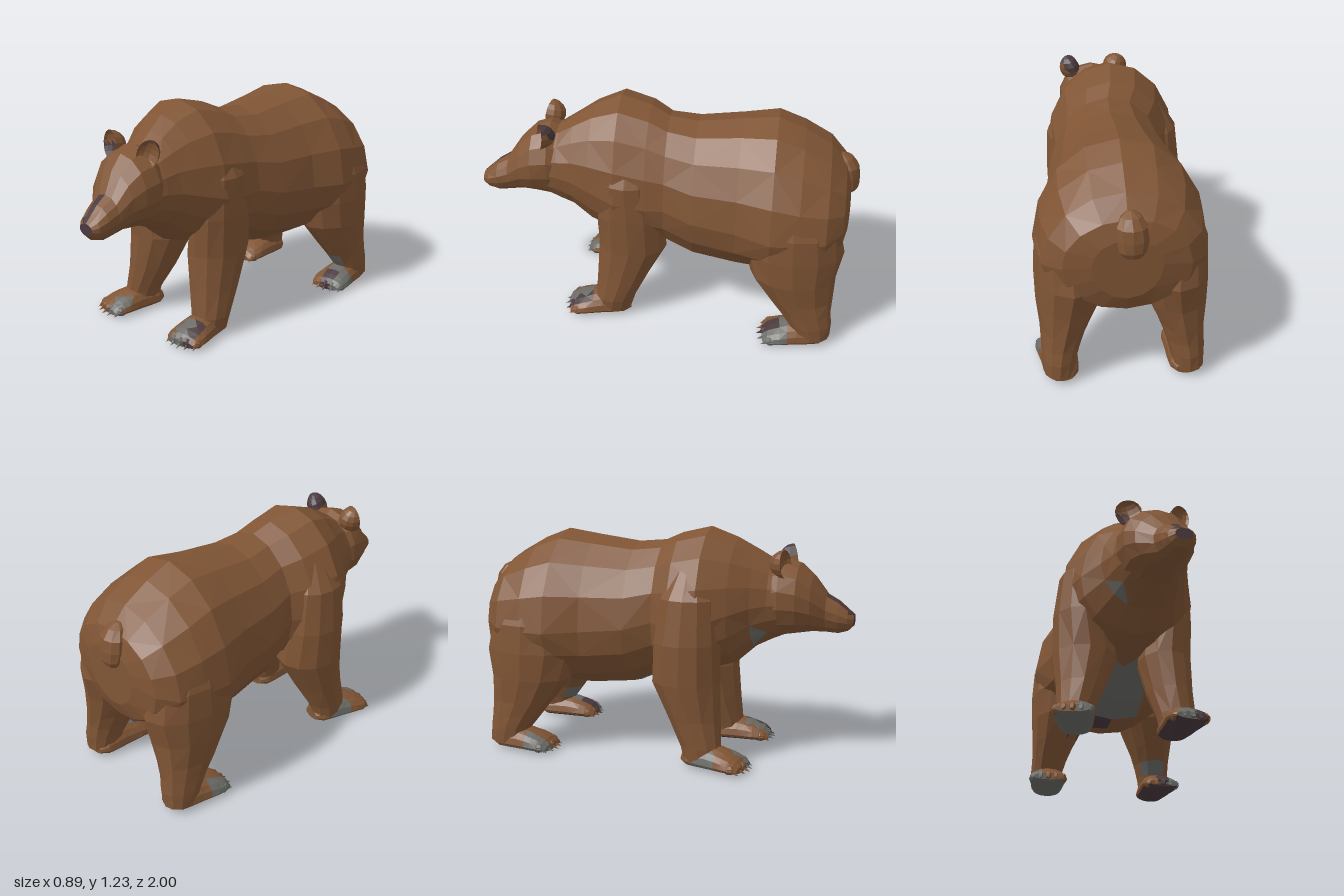
import * as THREE from 'three';

const brown = new THREE.MeshStandardMaterial({ color: 0x805535 });
const grey = new THREE.MeshStandardMaterial({ color: 0x6a6a66 });
const dark = new THREE.MeshStandardMaterial({ color: 0x4a3a3e });
brown.name = 'brown fur';
grey.name = 'grey skin';
dark.name = 'dark skin';
const coat = [brown, grey, dark];
const BROWN = 0, GREY = 1, DARK = 2;

// Small repeatable offset that breaks up regular facets
const wobble = (i, j) => 1 + 0.022 * Math.sin(i * 12.9 + j * 7.3) * Math.cos(i * 3.1 - j * 5.7);

// Flat facets, each coloured by a rule on its centre and normal
function facetMesh(name, source, rule = () => BROWN) {
  const flat = source.index ? source.toNonIndexed() : source;
  const p = flat.attributes.position;
  const buckets = [[], [], []];
  const v = [0, 1, 2].map(() => new THREE.Vector3());
  for (let i = 0; i < p.count; i += 3) {
    v.forEach((q, k) => q.fromBufferAttribute(p, i + k));
    const c = new THREE.Vector3().add(v[0]).add(v[1]).add(v[2]).divideScalar(3);
    const n = v[1].clone().sub(v[0]).cross(v[2].clone().sub(v[0])).normalize();
    const list = buckets[rule(c, n)];
    v.forEach((q) => list.push(q.x, q.y, q.z));
  }
  const geo = new THREE.BufferGeometry();
  geo.setAttribute('position', new THREE.Float32BufferAttribute(buckets.flat(), 3));
  let start = 0;
  buckets.forEach((b, k) => {
    if (b.length) geo.addGroup(start, b.length / 3, k);
    start += b.length / 3;
  });
  geo.computeVertexNormals();
  const mesh = new THREE.Mesh(geo, coat);
  mesh.name = name;
  return mesh;
}

// Skin over closed rings, with both ends capped
function loft(rings) {
  const n = rings[0].length, pos = [];
  const tri = (...pts) => pts.forEach((q) => pos.push(q.x, q.y, q.z));
  const centre = (r) => r.reduce((s, q) => s.add(q), new THREE.Vector3()).divideScalar(n);
  const first = rings[0], last = rings[rings.length - 1];
  const c0 = centre(first), c1 = centre(last);
  for (let j = 0; j < n; j++) {
    const k = (j + 1) % n;
    tri(c0, first[j], first[k]);
    tri(c1, last[k], last[j]);
    for (let i = 0; i + 1 < rings.length; i++) {
      const a = rings[i], b = rings[i + 1];
      if ((i + j) % 2) { tri(a[j], b[j], a[k]); tri(a[k], b[j], b[k]); }
      else { tri(a[j], b[j], b[k]); tri(a[j], b[k], a[k]); }
    }
  }
  const geo = new THREE.BufferGeometry();
  geo.setAttribute('position', new THREE.Float32BufferAttribute(pos, 3));
  return geo;
}

// Upright sections along z: [z, centre x, half width, top, bottom, widest y]
const alongZ = (rows, n, rough = true) => loft(rows.map(([z, cx, w, top, bottom, mid], i) =>
  Array.from({ length: n }, (_, j) => {
    const a = (j / n) * Math.PI * 2, c = Math.cos(a);
    const f = rough && j ? wobble(i, j) : 1;
    return new THREE.Vector3(cx + Math.sin(a) * w * f, mid + c * (c > 0 ? top - mid : mid - bottom), z);
  })));

// Level sections from top to bottom: [y, centre x, centre z, half width, half depth]
const downY = (rows, n) => loft(rows.map(([y, cx, cz, w, d], i) =>
  Array.from({ length: n }, (_, j) => {
    const a = (j / n) * Math.PI * 2, f = wobble(i, j);
    return new THREE.Vector3(cx + Math.sin(a) * w * f, y, cz + Math.cos(a) * d * f);
  })));

// Paw with coloured spots: [colour, min x, max x, min z, max z]
function makePaw(name, x, z, yaw, sole, spots) {
  const paw = new THREE.Group();
  paw.name = name;
  const colourAt = (px, pz) => {
    const spot = spots.find(([, x0, x1, z0, z1]) => px > x0 && px < x1 && pz > z0 && pz < z1);
    return spot ? spot[0] : BROWN;
  };
  const pad = alongZ([
    [-0.16, 0, 0.05, 0.07, 0.015, 0.035], [-0.12, 0, 0.08, 0.1, 0, 0.035],
    [-0.06, 0, 0.09, 0.12, 0, 0.035], [0, 0, 0.095, 0.125, 0, 0.035],
    [0.05, 0, 0.102, 0.115, 0, 0.035], [0.09, 0, 0.108, 0.102, 0, 0.035],
    [0.125, 0, 0.107, 0.088, 0, 0.033], [0.155, 0, 0.1, 0.072, 0.002, 0.03],
    [0.178, 0, 0.085, 0.048, 0.01, 0.025],
  ], 16, false);
  paw.add(facetMesh('pawPad', pad, (c, n) => (n.y < -0.6 ? sole : colourAt(c.x, c.z))));
  // Toes and claws
  for (let i = 0; i < 5; i++) {
    const t = (i - 2) / 2, bend = t * t * 0.025;
    const toe = facetMesh('toe', new THREE.SphereGeometry(0.027, 7, 5), () => colourAt(t * 0.083, 0.16));
    toe.scale.set(0.8, 1, 1.2);
    toe.position.set(t * 0.083, 0.034, 0.16 - bend);
    const claw = facetMesh('claw', new THREE.ConeGeometry(0.011, 0.04, 5), () => colourAt(t * 0.083, 0.16));
    claw.rotation.x = 1.95;
    claw.position.set(t * 0.086, 0.02, 0.196 - bend);
    paw.add(toe, claw);
  }
  paw.position.set(x, 0, z);
  paw.rotation.y = yaw;
  return paw;
}

// Ear as a ball whose front half is pushed in to make a dish
function makeEar(name, x, w, yaw, tilt, rule) {
  const dish = new THREE.SphereGeometry(1, 12, 8);
  const p = dish.attributes.position;
  for (let i = 0; i < p.count; i++) if (p.getZ(i) > 0) p.setZ(i, p.getZ(i) * -0.4);
  dish.scale(w, 0.075, 0.085);
  const ear = facetMesh(name, dish, rule);
  ear.position.set(x, 1.05, 0.665);
  ear.rotation.set(-0.1, yaw, tilt);
  return ear;
}

export function createModel() {
  const bear = new THREE.Group();
  bear.name = 'bear';

  // Trunk from rump to neck, with bare skin under the belly and throat
  bear.add(facetMesh('body', alongZ([
    [-0.955, 0, 0.17, 0.86, 0.54, 0.72], [-0.925, 0, 0.31, 0.95, 0.46, 0.7],
    [-0.84, 0, 0.39, 1.045, 0.41, 0.68], [-0.7, 0, 0.425, 1.125, 0.37, 0.67],
    [-0.56, 0, 0.425, 1.18, 0.34, 0.67], [-0.38, -0.005, 0.37, 1.155, 0.33, 0.68],
    [-0.15, 0, 0.335, 1.125, 0.35, 0.7], [0, -0.005, 0.3, 1.14, 0.42, 0.74],
    [0.1, -0.03, 0.335, 1.185, 0.45, 0.74], [0.26, -0.045, 0.35, 1.225, 0.46, 0.76],
    [0.4, -0.025, 0.285, 1.17, 0.5, 0.8], [0.5, 0, 0.225, 1.11, 0.59, 0.83],
    [0.58, 0.015, 0.195, 1.06, 0.63, 0.84], [0.65, 0.02, 0.17, 1.03, 0.66, 0.84],
  ], 16), (c, n) => {
    if (n.y < -0.7 && Math.abs(c.x) < 0.15 && c.z > -0.42 && c.z < 0.2) return GREY;
    if (n.y < -0.7 && c.x < 0.02 && c.x > -0.15 && c.z > -0.65 && c.z < -0.42) return DARK;
    return c.z > 0.5 && c.z < 0.6 && c.x < -0.1 && c.x > -0.18 && c.y < 0.7 ? GREY : BROWN;
  }));

  // Head and muzzle, turned slightly to the left, with a dark nose stripe
  bear.add(facetMesh('head', alongZ([
    [0.54, 0.015, 0.16, 1.03, 0.66, 0.85], [0.63, 0.02, 0.19, 1.075, 0.655, 0.87],
    [0.72, 0.025, 0.182, 1.045, 0.67, 0.86], [0.79, 0.038, 0.148, 0.98, 0.68, 0.83],
    [0.86, 0.065, 0.1, 0.88, 0.675, 0.785], [0.92, 0.073, 0.088, 0.845, 0.67, 0.765],
    [0.97, 0.079, 0.07, 0.8, 0.685, 0.75], [1.0, 0.083, 0.045, 0.775, 0.715, 0.745],
  ], 14), (c, n) => {
    const side = c.x - 0.065 - (c.z - 0.86) * 0.13;
    const stripe = n.y > 0.3 && c.z > 0.865 && side < 0 && side > -0.036;
    return stripe || c.z > 0.995 ? DARK : BROWN;
  }));

  // Ears, each with a dark patch
  bear.add(
    makeEar('rightEar', -0.115, 0.068, -0.25, 0.3, (c, n) => (n.z > 0 && c.x < 0.01 && c.y < 0.01 && c.y > -0.055 ? DARK : BROWN)),
    makeEar('leftEar', 0.155, 0.056, 0.45, -0.3, (c, n) => (n.z < 0.2 && c.y > 0 && c.x < 0.035 ? DARK : BROWN)),
  );

  // Front legs with shoulders
  bear.add(facetMesh('rightFrontLeg', downY([
    [1.02, -0.25, 0.2, 0.06, 0.08], [0.88, -0.283, 0.2, 0.115, 0.15], [0.65, -0.28, 0.19, 0.145, 0.18],
    [0.44, -0.25, 0.185, 0.17, 0.185], [0.25, -0.28, 0.235, 0.125, 0.14],
    [0.11, -0.31, 0.28, 0.09, 0.11], [0.03, -0.315, 0.29, 0.08, 0.1],
  ], 12)));
  bear.add(facetMesh('leftFrontLeg', downY([
    [1.02, 0.17, 0.2, 0.05, 0.08], [0.86, 0.2, 0.2, 0.11, 0.15], [0.65, 0.185, 0.19, 0.13, 0.18],
    [0.44, 0.17, 0.185, 0.14, 0.185], [0.25, 0.185, 0.235, 0.12, 0.14],
    [0.11, 0.205, 0.28, 0.1, 0.11], [0.03, 0.205, 0.29, 0.085, 0.1],
  ], 12)));

  // Hind legs with thighs: grey shin patch on the left, dark inner thigh on the right
  const shin = (c, n) => (n.z > 0.4 && c.y > 0.12 && c.y < 0.19 && c.x < 0.36 ? GREY : BROWN);
  const thigh = (c, n) => (n.x > 0.5 && c.y > 0.33 && c.y < 0.52 && c.z > -0.78 ? DARK : BROWN);
  for (const s of [1, -1]) {
    bear.add(facetMesh(s > 0 ? 'leftHindLeg' : 'rightHindLeg', downY([
      [1.0, 0.23, -0.66, 0.05, 0.08], [0.86, 0.26, -0.66, 0.11, 0.16],
      [0.7, 0.255, -0.68, 0.17, 0.235], [0.55, 0.25, -0.685, 0.182, 0.258],
      [0.4, 0.27, -0.695, 0.158, 0.225], [0.27, 0.295, -0.735, 0.118, 0.172],
      [0.19, 0.31, -0.77, 0.1, 0.14], [0.12, 0.32, -0.797, 0.09, 0.117], [0.04, 0.325, -0.815, 0.08, 0.1],
    ].map(([y, x, ...rest]) => [y, s * x, ...rest]), 12), s > 0 ? shin : thigh));
  }

  // Paws
  bear.add(
    makePaw('rightFrontPaw', -0.32, 0.345, -0.2, GREY,
      [[GREY, -0.12, -0.05, -0.08, 0.05], [GREY, 0.015, 0.095, 0.07, 0.25]]),
    makePaw('leftFrontPaw', 0.205, 0.355, 0.12, DARK,
      [[GREY, -0.06, 0.015, 0.06, 0.25], [DARK, 0.015, 0.07, 0.05, 0.25]]),
    makePaw('rightHindPaw', -0.32, -0.73, -0.08, GREY, [[GREY, -0.12, -0.03, 0.05, 0.25]]),
    makePaw('leftHindPaw', 0.32, -0.73, 0.08, DARK,
      [[GREY, 0.035, 0.12, 0.06, 0.25], [DARK, -0.035, 0.035, 0.08, 0.25], [GREY, -0.03, 0.03, -0.03, 0.08]]),
  );

  // Stubby tail
  bear.add(facetMesh('tail', downY([
    [0.985, -0.015, -0.895, 0.015, 0.015], [0.965, -0.015, -0.91, 0.05, 0.045], [0.92, -0.018, -0.93, 0.075, 0.058],
    [0.86, -0.02, -0.942, 0.078, 0.057], [0.805, -0.02, -0.955, 0.068, 0.045],
    [0.775, -0.02, -0.957, 0.045, 0.03], [0.765, -0.02, -0.957, 0.015, 0.012],
  ], 10)));

  return bear;
}
